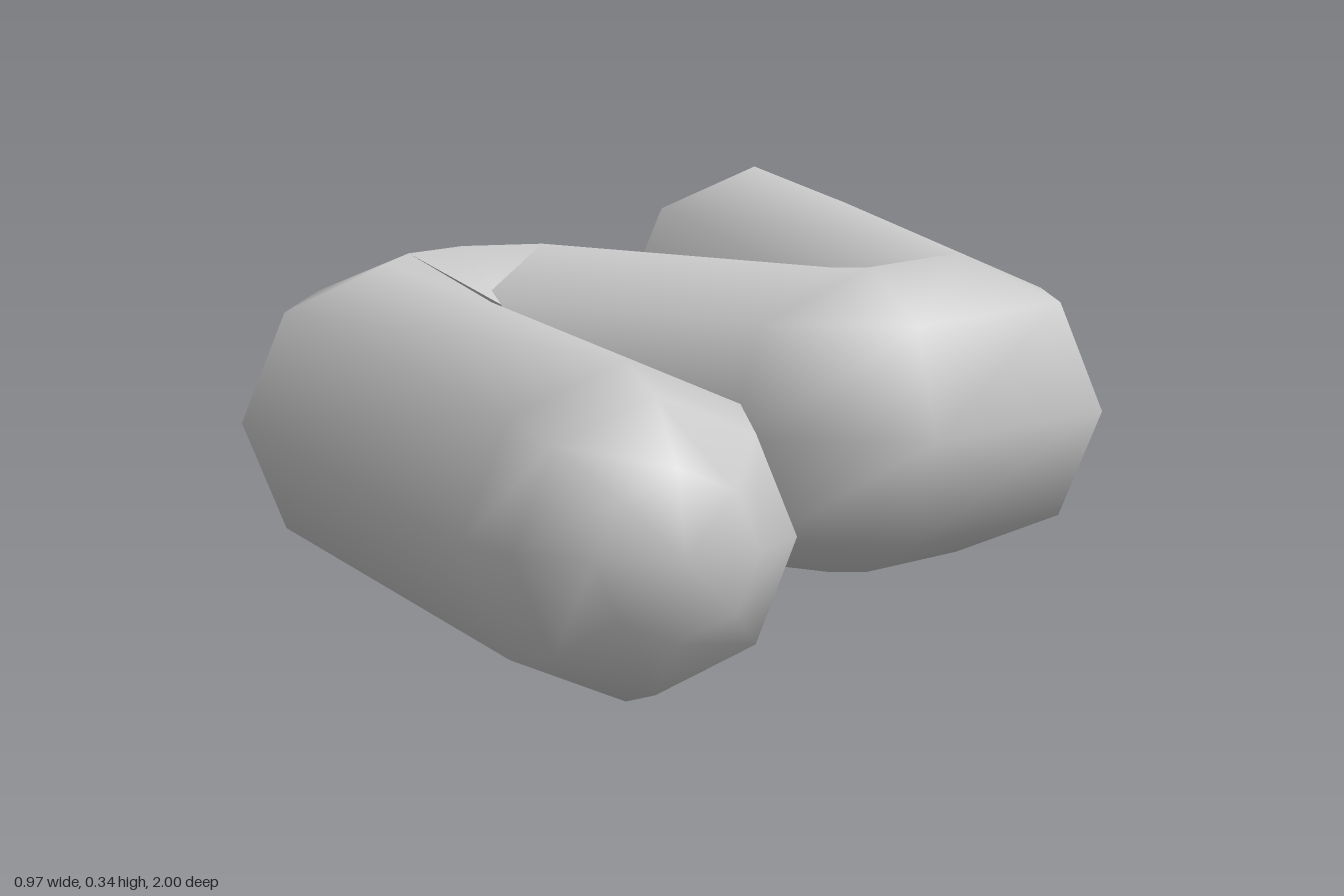
import * as THREE from 'three';

const R = 0.17;     // tube radius, also the height of its centre line
const SIDES = 8;

// Centre line stations on the ground plane: x, z, heading in degrees (0 = towards -z)
const path = [
  [-0.166, 0.83, -11.5],
  [-0.318, 0.056, -11.5], [-0.287, -0.024, 38], [-0.22, -0.08, 89], [-0.128, -0.088, 139],
  [0.158, 0.168, 139], [0.2, 0.173, 75], [0.322, 0.065, 30], [0.311, 0.012, -4.7],
  [0.241, -0.83, -4.7],
];

// Each ring: station plus tilt, the latitude on a domed end (0 on the tube itself)
function makeRings() {
  const rings = [];
  const first = path[0], last = path[path.length - 1];
  for (const tilt of [-90, -60, -30]) rings.push([...first, tilt]);
  for (const p of path) rings.push([...p, 0]);
  for (const tilt of [30, 60, 90]) rings.push([...last, tilt]);
  return rings;
}

function tubeGeometry() {
  const pos = [], nor = [], index = [];
  const rings = makeRings();
  const row = SIDES + 1;
  rings.forEach(([x, z, heading, tiltDeg], i) => {
    const a = THREE.MathUtils.degToRad(heading);
    const tilt = THREE.MathUtils.degToRad(tiltDeg);
    const forward = new THREE.Vector3(Math.sin(a), 0, -Math.cos(a));
    const side = new THREE.Vector3(Math.cos(a), 0, Math.sin(a));
    for (let j = 0; j <= SIDES; j++) {
      const t = (j / SIDES) * Math.PI * 2;
      const n = side.clone().multiplyScalar(Math.cos(t));
      n.y = Math.sin(t);
      n.multiplyScalar(Math.cos(tilt)).addScaledVector(forward, Math.sin(tilt));
      nor.push(n.x, n.y, n.z);
      pos.push(x + n.x * R, R + n.y * R, z + n.z * R);
      if (i < rings.length - 1 && j < SIDES) {
        const k = i * row + j;
        if (i < rings.length - 2) index.push(k, k + row, k + row + 1);
        else index.push(k, k + row, k + 1);
        if (i > 0 && i < rings.length - 2) index.push(k, k + row + 1, k + 1);
      }
    }
  });
  const g = new THREE.BufferGeometry();
  g.setAttribute('position', new THREE.Float32BufferAttribute(pos, 3));
  g.setAttribute('normal', new THREE.Float32BufferAttribute(nor, 3));
  g.setIndex(index);
  return g;
}

export function createModel() {
  const group = new THREE.Group();
  group.name = 'zigzagTube';
  const mat = new THREE.MeshStandardMaterial({ color: 0xcccccc });
  // One bent tube with rounded ends
  const tube = new THREE.Mesh(tubeGeometry(), mat);
  tube.name = 'bentTube';
  group.add(tube);
  return group;
}
